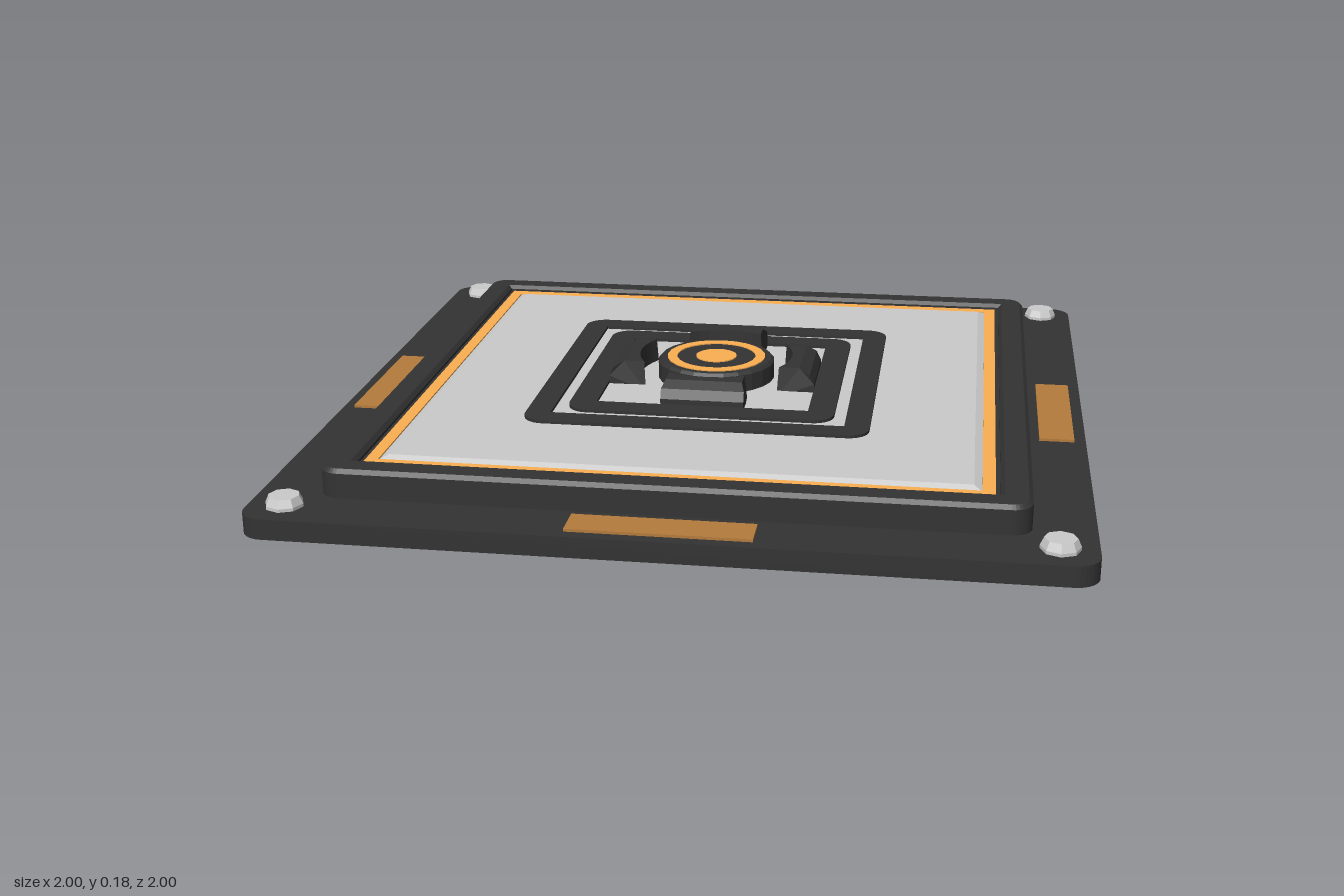
import * as THREE from 'three';

const mat = (color) => new THREE.MeshStandardMaterial({ color, flatShading: true });
const dark = mat(0x333333), black = mat(0x1a1a1a), grey = mat(0xcccccc);
const orange = mat(0xfcb052), amber = mat(0xb47c3c);

// Traces a centred square with optional rounded corners
function square(path, h, r) {
  if (!r) {
    path.moveTo(-h, -h).lineTo(h, -h).lineTo(h, h).lineTo(-h, h).closePath();
    return path;
  }
  const c = h - r, q = Math.PI / 2;
  path.moveTo(-c, -h);
  path.absarc(c, -c, r, -q, 0, false);
  path.absarc(c, c, r, 0, q, false);
  path.absarc(-c, c, r, q, 2 * q, false);
  path.absarc(-c, -c, r, 2 * q, 3 * q, false);
  return path;
}

// Horizontal square plate between two heights, with optional square hole and bevel
function slab(name, material, half, r, y0, y1, { hole = 0, holeR = 0, bevel = 0 } = {}) {
  const shape = square(new THREE.Shape(), half, r);
  if (hole) shape.holes.push(square(new THREE.Path(), hole, holeR));
  const thick = Math.min(bevel, (y1 - y0) / 3);
  const g = new THREE.ExtrudeGeometry(shape, {
    depth: y1 - y0 - 2 * thick, curveSegments: 4, bevelEnabled: bevel > 0,
    bevelThickness: thick, bevelSize: bevel, bevelOffset: -bevel, bevelSegments: 1,
  });
  g.translate(0, 0, thick).rotateX(-Math.PI / 2).translate(0, y0, 0);
  const m = new THREE.Mesh(g, material);
  m.name = name;
  return m;
}

// Round part turned from radius / height pairs
function turned(name, material, points, sides) {
  const g = new THREE.LatheGeometry(points.map(([x, y]) => new THREE.Vector2(x, y)), sides);
  const m = new THREE.Mesh(g, material);
  m.name = name;
  return m;
}

// Clamp block: rounded outer end, hollowed inner end that follows the hub
function clampGeometry() {
  const profile = [[0.2, 0.1], [0.28, 0.1], [0.28, 0.14], [0.268, 0.165], [0.24, 0.182], [0.2, 0.182]];
  const shape = new THREE.Shape(profile.map(([x, y]) => new THREE.Vector2(x, y)));
  const g = new THREE.ExtrudeGeometry(shape, { depth: 0.22, steps: 8, bevelEnabled: false });
  g.translate(0, 0, -0.11);
  const p = g.attributes.position;
  for (let i = 0; i < p.count; i++) {
    if (p.getY(i) > 0.17) p.setZ(i, p.getZ(i) * 0.92);
    const z = p.getZ(i);
    if (p.getX(i) < 0.201) p.setX(i, Math.sqrt(0.21 * 0.21 - z * z));
  }
  g.computeVertexNormals();
  return g;
}

export function createModel() {
  const model = new THREE.Group();
  model.name = 'floorHatch';

  // Flange with a turned-down lip, carrying the raised body and its rim
  model.add(
    slab('flangeLip', dark, 1, 0.06, 0, 0.052, { hole: 0.994, holeR: 0.055 }),
    slab('flangeTop', dark, 0.997, 0.058, 0.048, 0.052, { hole: 0.84, holeR: 0.045 }),
    slab('underPlate', black, 0.845, 0.045, 0.047, 0.06),
    slab('body', dark, 0.85, 0.05, 0.05, 0.108),
    slab('rim', dark, 0.85, 0.05, 0.09, 0.125, { hole: 0.775, bevel: 0.01 }),
  );

  // Centre panel and its trim
  model.add(
    slab('trim', orange, 0.764, 0, 0.1, 0.112, { hole: 0.733 }),
    slab('panel', grey, 0.733, 0, 0.088, 0.118, { bevel: 0.02 }),
    slab('outerFrame', dark, 0.447, 0.055, 0.11, 0.126, { hole: 0.382 }),
    slab('innerFrame', dark, 0.35, 0.055, 0.11, 0.126, { hole: 0.28 }),
  );

  // Hub with ring and centre button
  const hub = new THREE.Group();
  hub.name = 'hub';
  hub.add(
    turned('hubBody', dark, [[0.16, 0.105], [0.16, 0.165], [0.152, 0.173], [0, 0.173]], 24),
    turned('hubRing', orange, [[0.135, 0.168], [0.135, 0.176], [0.108, 0.176], [0.108, 0.168]], 24),
    turned('hubButton', orange, [[0.056, 0.168], [0.056, 0.176], [0, 0.176]], 24),
  );
  model.add(hub);

  // Four clamps and four edge strips
  const clamp = clampGeometry();
  const strip = new THREE.BoxGeometry(0.09, 0.016, 0.44).translate(0.925, 0.051, 0);
  for (let i = 0; i < 4; i++) {
    for (const [name, g, m] of [['clamp', clamp, dark], ['edgeStrip', strip, amber]]) {
      const mesh = new THREE.Mesh(g, m);
      mesh.name = name;
      mesh.rotation.y = i * Math.PI / 2;
      model.add(mesh);
    }
  }

  // Corner bolts, chamfered above and below
  for (const x of [-0.91, 0.91]) for (const z of [-0.91, 0.91]) {
    const bolt = turned('bolt', grey,
      [[0, 0.036], [0.036, 0.036], [0.047, 0.046], [0.047, 0.06], [0.038, 0.08], [0, 0.08]], 8);
    bolt.position.set(x, 0, z);
    model.add(bolt);
  }
  return model;
}
